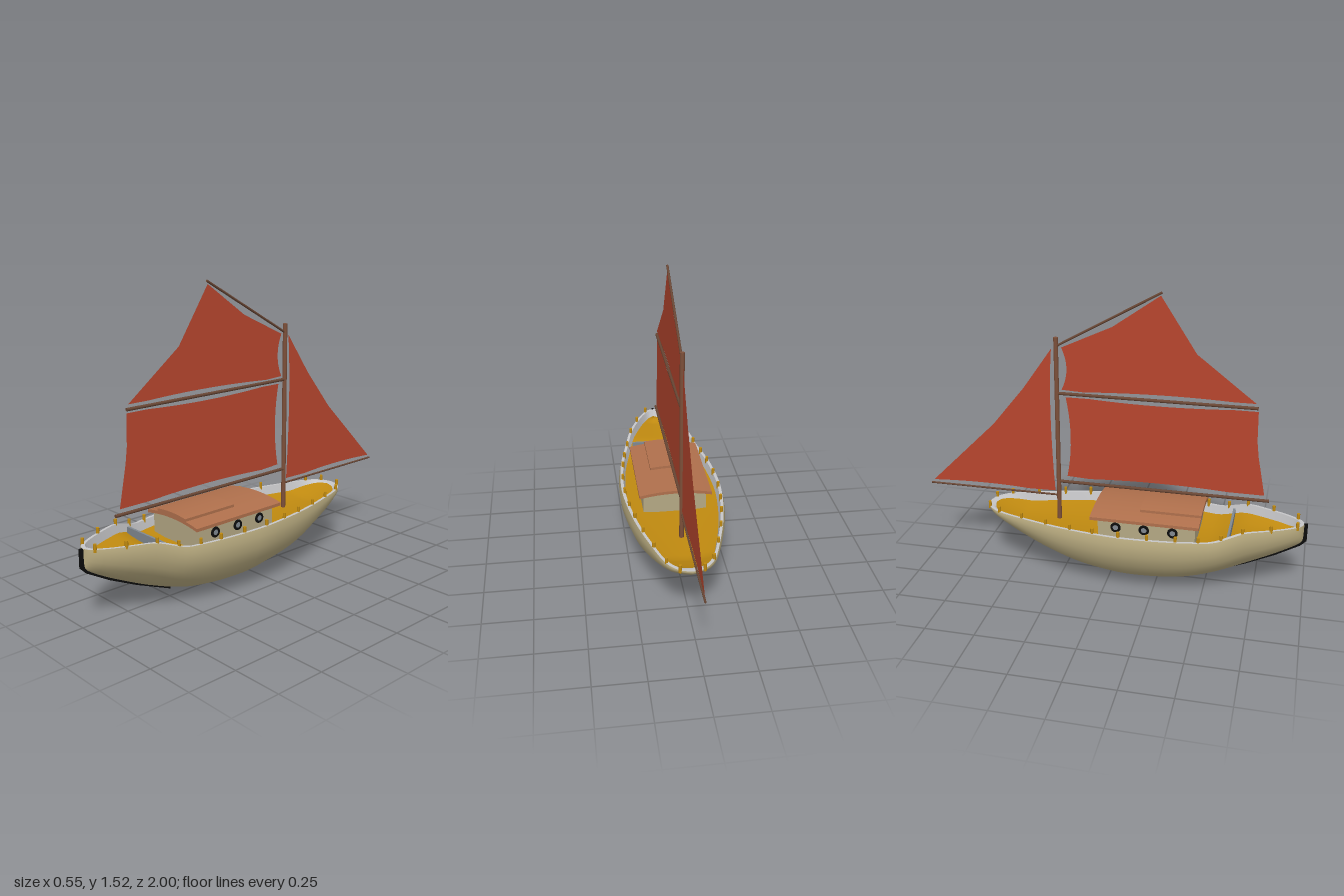
import * as THREE from 'three';
import { toCreasedNormals } from 'three/addons/utils/BufferGeometryUtils.js';

const mat = (name, color, side = THREE.FrontSide) => {
  const m = new THREE.MeshStandardMaterial({ color, side });
  m.name = name;
  return m;
};

// Surface through rows of [x, y, z] points
function loft(rows) {
  const n = rows[0].length, index = [];
  for (let i = 0; i < rows.length - 1; i++)
    for (let j = 0; j < n - 1; j++) {
      const a = i * n + j, b = a + n;
      index.push(a, b, a + 1, b, b + 1, a + 1);
    }
  const g = new THREE.BufferGeometry();
  g.setAttribute('position', new THREE.Float32BufferAttribute(rows.flat(2), 3));
  g.setIndex(index);
  g.computeVertexNormals();
  return g;
}

export function createModel() {
  const boat = new THREE.Group();
  boat.name = 'sailingBoat';
  const M = {
    hull: mat('hullCream', 0xbcae82, THREE.DoubleSide),
    rim: mat('railGrey', 0xc6c6c8, THREE.DoubleSide),
    deck: mat('deckGold', 0xc08a10, THREE.DoubleSide),
    wall: mat('cabinTan', 0xb4a884),
    roof: mat('roofBrown', 0xb0704c),
    mast: mat('mastBrown', 0x7c4f39),
    spar: mat('sparBrown', 0x684634),
    sail: mat('sailRed', 0xb8462e, THREE.DoubleSide),
    black: mat('black', 0x0c0c0c),
    glass: mat('slateGrey', 0x808890),
  };
  const add = (name, geo, material, parent = boat) => {
    const m = new THREE.Mesh(geo, material);
    m.name = name;
    parent.add(m);
    return m;
  };
  const box = (w, h, d, x, y, z) => new THREE.BoxGeometry(w, h, d).translate(x, y, z);

  // Hull stations: z, half width, keel height
  const curve = new THREE.CatmullRomCurve3([
    [-0.67, 0, 0.318], [-0.655, 0.055, 0.305], [-0.6, 0.112, 0.262], [-0.4, 0.185, 0.14],
    [-0.2, 0.236, 0.052], [0, 0.266, 0.01], [0.15, 0.274, 0], [0.4, 0.253, 0.02],
    [0.6, 0.207, 0.085], [0.8, 0.134, 0.175], [0.92, 0.075, 0.238], [0.97, 0.035, 0.27],
    [0.985, 0, 0.29],
  ].map(p => new THREE.Vector3(...p)));
  const sheer = z => 0.33 + 0.05 * THREE.MathUtils.smoothstep(z, 0.53, 0.73);
  const stations = curve.getPoints(72).map(p => ({ z: p.x, w: Math.max(0, p.y), keel: p.z, top: sheer(p.x) }));

  const half = [[0.97, 1], [1, 0.88], [0.975, 0.7], [0.88, 0.5], [0.71, 0.32], [0.42, 0.14], [0.2, 0.055]];
  const section = [...half, [0, 0], ...half.map(([x, t]) => [-x, t]).reverse()];
  add('hull', loft(stations.map(s =>
    section.map(([x, t]) => [x * s.w, s.keel + t * (s.top - s.keel), s.z]))), M.hull);

  // Rail and deck sit inside the hull, scaled inward about its middle
  const MID = 0.155;
  const inner = (s, k, f, drop) => [s.w * 0.97 * k * f, s.top - drop, MID + (s.z - MID) * (1 - (1 - f) * 0.43)];
  const depth = s => Math.min(0.045, (s.top - s.keel) * 0.35);
  const rail = new THREE.Group();
  rail.name = 'rail';
  boat.add(rail);
  for (const k of [1, -1]) {
    const rows = stations.map(s => {
      const r = [inner(s, k, 0.9, depth(s)), inner(s, k, 0.94, 0), inner(s, k, 1, 0)];
      return k > 0 ? r : r.reverse();
    });
    add(k > 0 ? 'leftRail' : 'rightRail', toCreasedNormals(loft(rows), 0.6), M.rim, rail);
  }
  add('deck', loft(stations.map(s => [-1, -0.8, -0.4, 0, 0.4, 0.8, 1].map(k =>
    inner(s, k, 0.9, depth(s) * (1 + 0.4 * (1 - k * k)))))), M.deck);
  add('deckBoard', box(0.32, 0.055, 0.012, 0, 0.318, 0.62), M.glass);

  // Small posts along both rails
  const widthAt = z => {
    const i = Math.max(1, stations.findIndex(s => s.z >= z));
    const a = stations[i - 1], b = stations[i];
    return THREE.MathUtils.lerp(a.w, b.w, (z - a.z) / (b.z - a.z));
  };
  const posts = new THREE.Group();
  posts.name = 'railPosts';
  boat.add(posts);
  const postGeo = new THREE.CylinderGeometry(0.008, 0.008, 0.04, 10);
  for (const z of [-0.65, -0.58, -0.445, -0.305, -0.17, -0.05, 0.085, 0.23, 0.37, 0.48, 0.59, 0.69, 0.825, 0.95])
    for (const k of [1, -1])
      add('railPost', postGeo, M.deck, posts).position.set(k * widthAt(z) * 0.92, sheer(z) + 0.007, z);

  // Keel strip and rudder at the stern
  const strip = new THREE.Shape([
    [1, 0.38], [1, 0.288], [0.97, 0.258], [0.85, 0.19], [0.7, 0.12], [0.5, 0.04],
    [0.5, 0.06], [0.7, 0.14], [0.85, 0.21], [0.96, 0.27], [0.98, 0.3], [0.98, 0.38],
  ].map(p => new THREE.Vector2(...p)));
  add('rudder', new THREE.ExtrudeGeometry(strip, { depth: 0.012, bevelEnabled: false })
    .translate(0, 0, -0.006).rotateY(-Math.PI / 2), M.black);

  // Cabin with curved roof and sliding hatch
  const cabin = new THREE.Group();
  cabin.name = 'cabin';
  boat.add(cabin);
  add('cabinWalls', box(0.33, 0.115, 0.495, 0, 0.3275, 0.21), M.wall, cabin);
  const slab = (w, y, rise, thick, z0, z1) => {
    const s = new THREE.Shape();
    s.moveTo(-w, y);
    s.quadraticCurveTo(0, y + 2 * rise, w, y);
    s.lineTo(w, y + thick);
    s.quadraticCurveTo(0, y + thick + 2 * rise, -w, y + thick);
    const g = new THREE.ExtrudeGeometry(s, { depth: z1 - z0, bevelEnabled: false, curveSegments: 12 });
    return toCreasedNormals(g.translate(0, 0, z0), 0.5);
  };
  add('cabinRoof', slab(0.188, 0.376, 0.02, 0.016, -0.075, 0.478), M.roof, cabin);
  add('roofHatch', slab(0.105, 0.405, 0.008, 0.014, 0.168, 0.48), M.roof, cabin);
  for (const z of [0.055, 0.2, 0.345])
    for (const k of [1, -1]) {
      const ring = new THREE.TorusGeometry(0.02, 0.007, 8, 20).rotateY(Math.PI / 2);
      add('portholeRing', ring, M.black, cabin).position.set(k * 0.166, 0.337, z);
      const pane = new THREE.CylinderGeometry(0.019, 0.019, 0.006, 20).rotateZ(Math.PI / 2);
      add('portholeGlass', pane, M.glass, cabin).position.set(k * 0.166, 0.337, z);
    }

  // Mast and spars, each between two [z, y] points
  const pole = (name, a, b, r, material) => {
    const p = new THREE.Vector3(0, a[1], a[0]), q = new THREE.Vector3(0, b[1], b[0]);
    const d = q.clone().sub(p);
    const m = add(name, new THREE.CylinderGeometry(r, r, d.length(), 14), material);
    m.position.copy(p).add(q).multiplyScalar(0.5);
    m.quaternion.setFromUnitVectors(new THREE.Vector3(0, 1, 0), d.normalize());
  };
  pole('mast', [-0.285, 0.27], [-0.285, 1.26], 0.0115, M.mast);
  pole('lowerBoom', [-0.285, 0.485], [0.8, 0.485], 0.008, M.spar);
  pole('middleBoom', [-0.285, 0.97], [0.72, 0.97], 0.008, M.spar);
  pole('gaff', [-0.285, 1.215], [0.24, 1.51], 0.006, M.spar);
  pole('bowsprit', [-0.285, 0.405], [-1, 0.405], 0.005, M.spar);

  // Sails: outlines in [z, y]; four numbers give a bowed edge
  const sail = (name, start, edges) => {
    const s = new THREE.Shape();
    s.moveTo(...start);
    for (const e of edges) e.length === 2 ? s.lineTo(...e) : s.quadraticCurveTo(...e);
    add(name, new THREE.ShapeGeometry(s, 10).rotateY(-Math.PI / 2), M.sail);
  };
  sail('lowerMainSail', [0.775, 0.513], [
    [0.735, 0.72], [0.725, 0.8], [0.722, 0.953], [0.6, 0.953], [0.24, 0.93, -0.12, 0.952],
    [-0.24, 0.952], [-0.195, 0.73, -0.238, 0.518], [-0.12, 0.512], [0.24, 0.535, 0.6, 0.513]]);
  sail('upperMainSail', [0.71, 0.993], [
    [0.415, 1.22], [0.235, 1.495], [0, 1.33], [-0.258, 1.21],
    [-0.206, 1.1, -0.26, 0.99], [-0.15, 0.985], [0.25, 1.01, 0.6, 0.993]]);
  sail('foreSail', [-0.31, 1.2], [
    [-0.46, 0.985], [-0.63, 0.775], [-0.985, 0.423], [-0.9, 0.428],
    [-0.65, 0.44, -0.45, 0.425], [-0.305, 0.428], [-0.335, 0.9, -0.31, 1.2]]);

  return boat;
}
